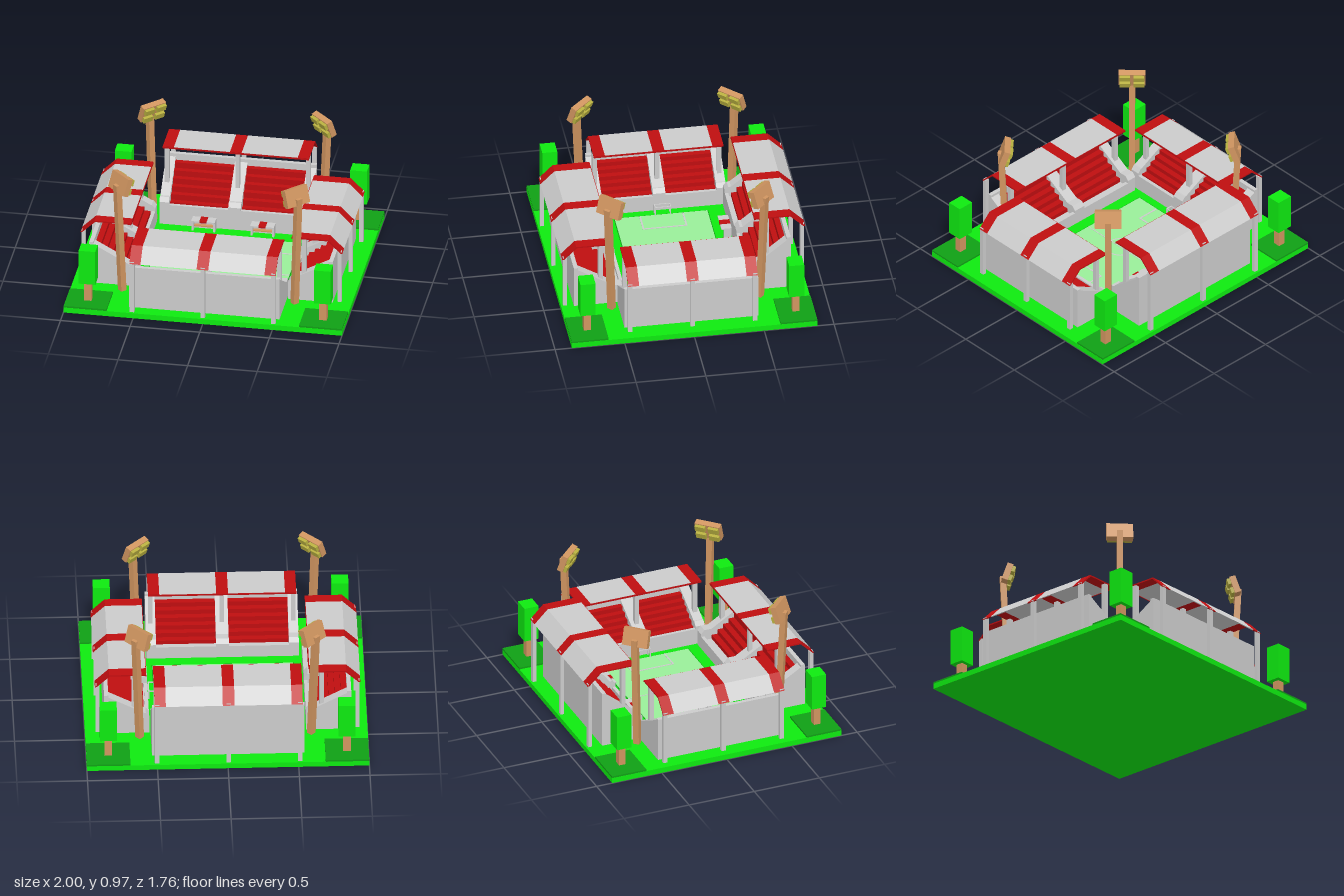
import * as THREE from 'three';

const mat = (color) => new THREE.MeshStandardMaterial({ color, flatShading: true });
const GREY = mat(0xcccccc), RED = mat(0xbe0e10), GREEN = mat(0x0eea10), DARK = mat(0x10a015);
const PITCH = mat(0x99ee99), WOOD = mat(0xd09560), LAMP = mat(0xb8b040);

function add(parent, name, geo, material) {
  const m = new THREE.Mesh(geo, material);
  m.name = name;
  parent.add(m);
  return m;
}

// box given by its two corners
function box(parent, name, material, x0, x1, y0, y1, z0, z1) {
  const m = add(parent, name, new THREE.BoxGeometry(x1 - x0, y1 - y0, z1 - z0), material);
  m.position.set((x0 + x1) / 2, (y0 + y1) / 2, (z0 + z1) / 2);
  return m;
}

// profile of [z, y] points, extruded from x0 to x1
function slab(parent, name, material, x0, x1, pts) {
  const shape = new THREE.Shape(pts.map((p) => new THREE.Vector2(p[0], p[1])));
  const geo = new THREE.ExtrudeGeometry(shape, { depth: x1 - x0, bevelEnabled: false });
  geo.rotateY(-Math.PI / 2).translate(x1, 0, 0);
  return add(parent, name, geo, material);
}

const G = 0.04; // ground level

// a stand runs along x and rises towards +z
function createStand(name, s) {
  const g = new THREE.Group();
  g.name = name;
  const { half, inner, outer, lowZ, low, top } = s;

  // sloped parapets at both ends and in the middle
  const ramp = [[inner, G], [outer, G], [outer, top], [lowZ, low], [inner + 0.025, low], [inner, low - 0.03]];
  const aisles = [[-half, -half + 0.07], [-0.045, 0.045], [half - 0.07, half]];
  for (const [a, b] of aisles) slab(g, 'parapet', GREY, a, b, ramp);

  // back wall, walkway and low front wall
  box(g, 'backWall', GREY, -half, half, G, top, outer - 0.03, outer);
  box(g, 'walkway', GREY, -half + 0.07, half - 0.07, G, low - 0.08, inner, lowZ + 0.005);
  box(g, 'frontWall', GREY, -half + 0.07, half - 0.07, G, low - 0.05, inner, inner + 0.025);

  // seat rows
  const rows = 6, d = (outer - 0.03 - lowZ) / rows;
  for (let i = 0; i < rows; i++) {
    const y = low - 0.05 + (i / (rows - 1)) * (top - low);
    const z = lowZ + i * d;
    for (const [a, b] of [[-half + 0.07, -0.045], [0.045, half - 0.07]])
      box(g, 'seatRow', RED, a, b, G, y, z, z + d);
  }

  // canopy with red bands
  const { rIn, rOut, rTop, rHalf } = s, t = 0.01, eave = rTop - 0.1;
  const roof = [[rIn, rTop - t], [rOut - 0.105, rTop - t], [rOut - 0.012, eave],
    [rOut, eave], [rOut - 0.1, rTop], [rIn, rTop]];
  const xs = [-rHalf, -rHalf + 0.08, -0.042, 0.042, rHalf - 0.08, rHalf];
  for (let i = 0; i < 5; i++)
    slab(g, i % 2 ? 'roofPanel' : 'roofBand', i % 2 ? GREY : RED, xs[i], xs[i + 1], roof);
  box(g, 'roofTrim', RED, -rHalf, rHalf, rTop - 0.014, rTop - 0.002, rIn - 0.004, rIn);

  // posts
  const pz = rIn + 0.085, w = 0.016;
  for (const x of [-rHalf + 0.018, 0, rHalf - 0.018]) {
    box(g, 'outerPost', GREY, x - w, x + w, G, eave + 0.012, rOut - 0.034, rOut - 0.006);
    box(g, 'innerPost', GREY, x - w, x + w, low, rTop - t, pz - w, pz + w);
  }
  return g;
}

// goal frame opening towards -x
function createGoal() {
  const g = new THREE.Group();
  g.name = 'goal';
  const r = 0.004, h = 0.11, w = 0.055, d = 0.04;
  for (const z of [-w, w]) {
    box(g, 'goalPost', GREY, -r, r, G, h, z - r, z + r);
    box(g, 'goalBackPost', GREY, d - r, d + r, G, h, z - r, z + r);
    box(g, 'goalSideBar', GREY, 0, d, h - 2 * r, h, z - r, z + r);
  }
  for (const x of [0, d]) box(g, 'goalCrossbar', GREY, x - r, x + r, h - 2 * r, h, -w, w);
  return g;
}

// dugout: roofed bench open towards +z
function createDugout() {
  const g = new THREE.Group();
  g.name = 'dugout';
  for (const s of [-1, 1]) {
    box(g, 'dugoutSide', GREY, s * 0.078 - 0.007, s * 0.078 + 0.007, G, 0.115, -0.035, 0.02);
    box(g, 'dugoutRoofEnd', GREY, s * 0.055 - 0.03, s * 0.055 + 0.03, 0.115, 0.125, -0.037, 0.037);
  }
  box(g, 'dugoutRoof', RED, -0.026, 0.026, 0.114, 0.127, -0.037, 0.038);
  box(g, 'dugoutBack', GREY, -0.078, 0.078, G, 0.115, -0.036, -0.028);
  box(g, 'dugoutBench', WOOD, -0.07, 0.07, 0.065, 0.073, -0.028, 0);
  return g;
}

// floodlight with its outward direction along +z
function createFloodlight() {
  const g = new THREE.Group();
  g.name = 'floodlight';
  const w = 0.022;
  const pole = new THREE.BoxGeometry(2 * w, 0.86, 2 * w).translate(0, 0.43, 0);
  const p = pole.attributes.position;
  for (let i = 0; i < p.count; i++) p.setZ(i, p.getZ(i) + p.getY(i) * 0.05); // lean outwards
  pole.computeVertexNormals();
  add(g, 'floodlightPole', pole, WOOD).position.y = G;
  const head = new THREE.Group();
  head.name = 'floodlightHead';
  head.position.set(0, 0.905, 0.015);
  head.rotation.x = -0.33;
  box(head, 'headPanel', WOOD, -0.095, 0.095, -0.065, 0.065, -0.022, 0.022);
  for (const x of [-0.05, 0.05])
    for (const y of [-0.036, 0.036])
      box(head, 'lamp', LAMP, x - 0.038, x + 0.038, y - 0.022, y + 0.022, -0.045, -0.02);
  g.add(head);
  return g;
}

export function createModel() {
  const model = new THREE.Group();
  model.name = 'stadium';
  box(model, 'base', GREEN, -1, 1, 0, G, -0.88, 0.88);

  // pitch and markings
  const pitch = new THREE.Group();
  pitch.name = 'pitch';
  model.add(pitch);
  box(pitch, 'pitchEdge', DARK, -0.506, 0.501, G, 0.042, -0.341, 0.336);
  box(pitch, 'pitchSurface', PITCH, -0.5, 0.495, G, 0.045, -0.335, 0.33);
  const line = (x0, x1, z0, z1) => box(pitch, 'marking', GREY, x0, x1, 0.043, 0.047, z0, z1);
  line(-0.005, 0.001, -0.33, 0.325);
  for (const s of [-1, 1]) {
    const a = s * 0.335, b = s * 0.495;
    line(a - 0.006, a + 0.006, -0.165, 0.155);
    for (const z of [-0.159, 0.149]) line(Math.min(a, b), Math.max(a, b), z - 0.006, z + 0.006);
    const goal = createGoal();
    goal.position.set(s * 0.495, 0, -0.015);
    goal.rotation.y = s > 0 ? 0 : Math.PI;
    model.add(goal);
    const dugout = createDugout();
    dugout.position.set(-0.005 + s * 0.212, 0, -0.413);
    model.add(dugout);
  }
  const ring = new THREE.RingGeometry(0.094, 0.104, 32).rotateX(-Math.PI / 2);
  add(pitch, 'centreCircle', ring, GREY).position.set(-0.002, 0.047, -0.003);

  // four stands
  const long = { half: 0.54, rHalf: 0.525, rIn: 0.51, rOut: 0.87, lowZ: 0.5 };
  const front = { ...long, inner: 0.42, outer: 0.79, low: 0.185, top: 0.36, rTop: 0.53 };
  const back = { ...long, inner: 0.455, outer: 0.765, low: 0.245, top: 0.46, rTop: 0.635 };
  const side = { half: 0.48, rHalf: 0.465, inner: 0.555, outer: 0.875, lowZ: 0.59, low: 0.21,
    top: 0.365, rIn: 0.58, rOut: 0.94, rTop: 0.53 };
  const stands = [['frontStand', front, 0, -0.004], ['leftStand', side, 1, -0.01],
    ['backStand', back, 2, -0.004], ['rightStand', side, 3, -0.01]];
  for (const [name, spec, turn, x] of stands) {
    const stand = createStand(name, spec);
    stand.rotation.y = turn * Math.PI / 2;
    stand.position.x = x;
    model.add(stand);
  }

  // floodlights in the gaps between the stands
  for (const [x, z] of [[-0.6, -0.52], [0.615, -0.53], [-0.635, 0.55], [0.6, 0.53]]) {
    const light = createFloodlight();
    light.position.set(x, 0, z);
    light.rotation.y = Math.atan2(Math.sign(x), Math.sign(z));
    model.add(light);
  }

  // corner beds with trees
  for (const sx of [-1, 1])
    for (const sz of [-1, 1]) {
      const tree = new THREE.Group();
      tree.name = 'tree';
      tree.position.set(sx * 0.845, 0, sz * 0.748);
      box(tree, 'bed', DARK, -0.154, 0.154, G, 0.053, -0.133, 0.131);
      box(tree, 'trunk', WOOD, -0.027, 0.027, 0.05, 0.2, -0.025, 0.025);
      box(tree, 'foliage', GREEN, -0.06, 0.06, 0.2, 0.465, -0.054, 0.054);
      model.add(tree);
    }
  return model;
}
